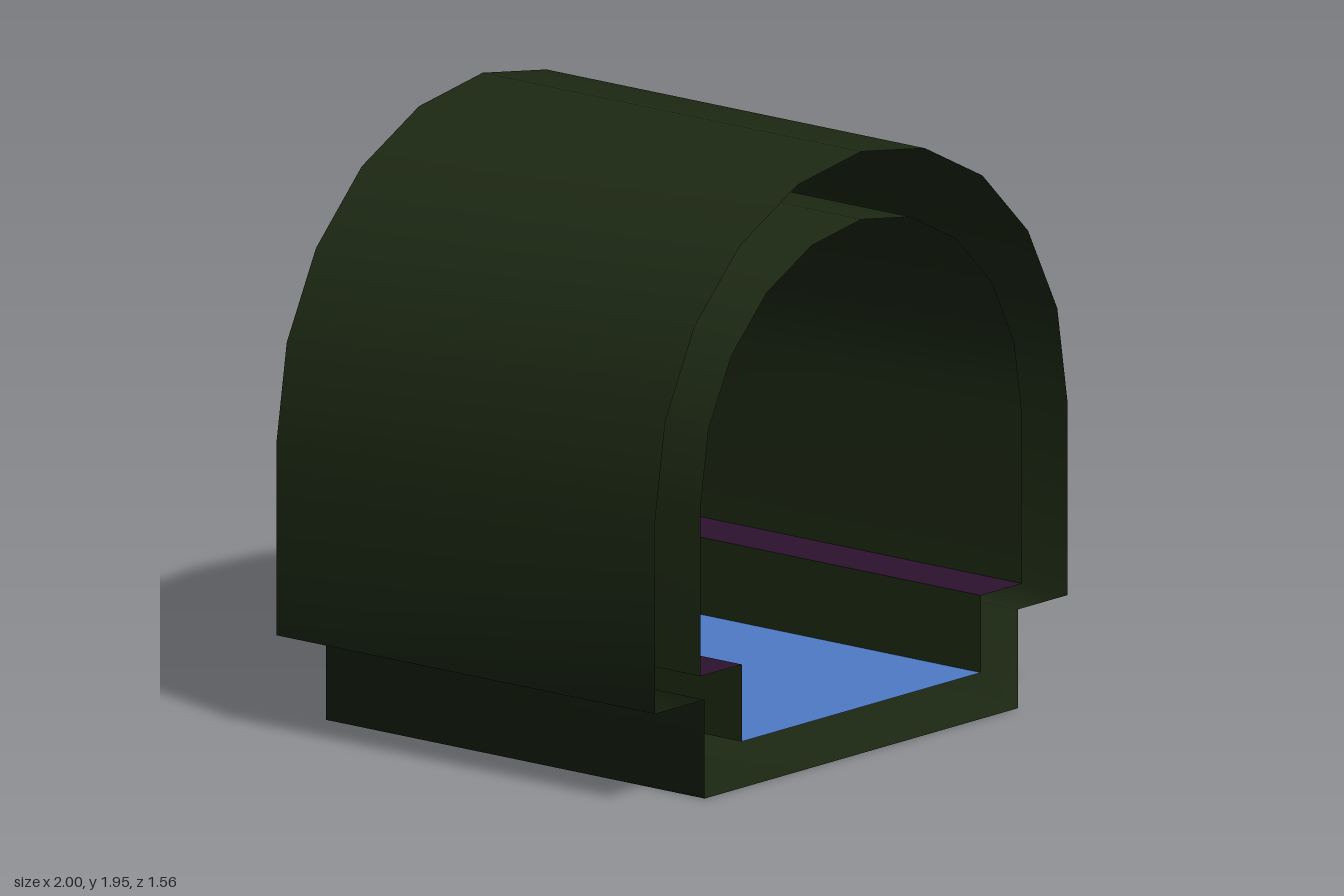
import * as THREE from 'three';

const HALF_DEPTH = 0.78;
const SPRING_Y = 0.95; // height where the arch starts
const ARCH_STEPS = 10;

// Semicircular arch points running from +x over the top to -x
function arch(radius) {
  return Array.from({ length: ARCH_STEPS + 1 }, (_, i) => {
    const a = (i / ARCH_STEPS) * Math.PI;
    return [radius * Math.cos(a), SPRING_Y + radius * Math.sin(a)];
  });
}

// Sweeps an open or closed profile along z; the visible side lies to the right of its direction
function sheet(name, profile, color, closed = false) {
  const positions = [];
  const index = [];
  const n = profile.length;
  for (const [x, y] of profile) positions.push(x, y, HALF_DEPTH, x, y, -HALF_DEPTH);
  for (let i = 0; i < (closed ? n : n - 1); i++) {
    const a = 2 * i;
    const b = 2 * ((i + 1) % n);
    index.push(a, a + 1, b + 1, a, b + 1, b);
  }
  const geometry = new THREE.BufferGeometry();
  geometry.setAttribute('position', new THREE.Float32BufferAttribute(positions, 3));
  geometry.setIndex(index);
  geometry.computeVertexNormals();
  const material = new THREE.MeshStandardMaterial({ color, side: THREE.DoubleSide });
  const mesh = new THREE.Mesh(geometry, material);
  mesh.name = name;
  return mesh;
}

export function createModel() {
  const group = new THREE.Group();
  group.name = 'tunnelSection';
  const green = 0x1c2813;
  const purple = 0x2c122e;
  const blue = 0x4f7ac6;

  const baseX = 0.76, stepY = 0.32;
  const innerX = 0.78, shelfX = 0.58, shelfY = 0.4, floorY = 0.15;

  // Outer shell: arch, side walls, stepped underside and bottom, open at both ends
  group.add(sheet('outerShell', [
    [baseX, 0], [baseX, stepY], [1, stepY],
    ...arch(1),
    [-1, stepY], [-baseX, stepY], [-baseX, 0],
  ], green, true));

  // Inner lining: walls and vault, facing inward
  group.add(sheet('innerLining', [
    [innerX, shelfY], ...arch(innerX), [-innerX, shelfY],
  ].reverse(), green));

  // Walkway ledge and its curb on each side
  group.add(sheet('leftLedge', [[innerX, shelfY], [shelfX, shelfY]], purple));
  group.add(sheet('rightLedge', [[-shelfX, shelfY], [-innerX, shelfY]], purple));
  group.add(sheet('leftCurb', [[shelfX, shelfY], [shelfX, floorY]], green));
  group.add(sheet('rightCurb', [[-shelfX, floorY], [-shelfX, shelfY]], green));

  // Channel floor
  group.add(sheet('channelFloor', [[shelfX, floorY], [-shelfX, floorY]], blue));

  return group;
}
